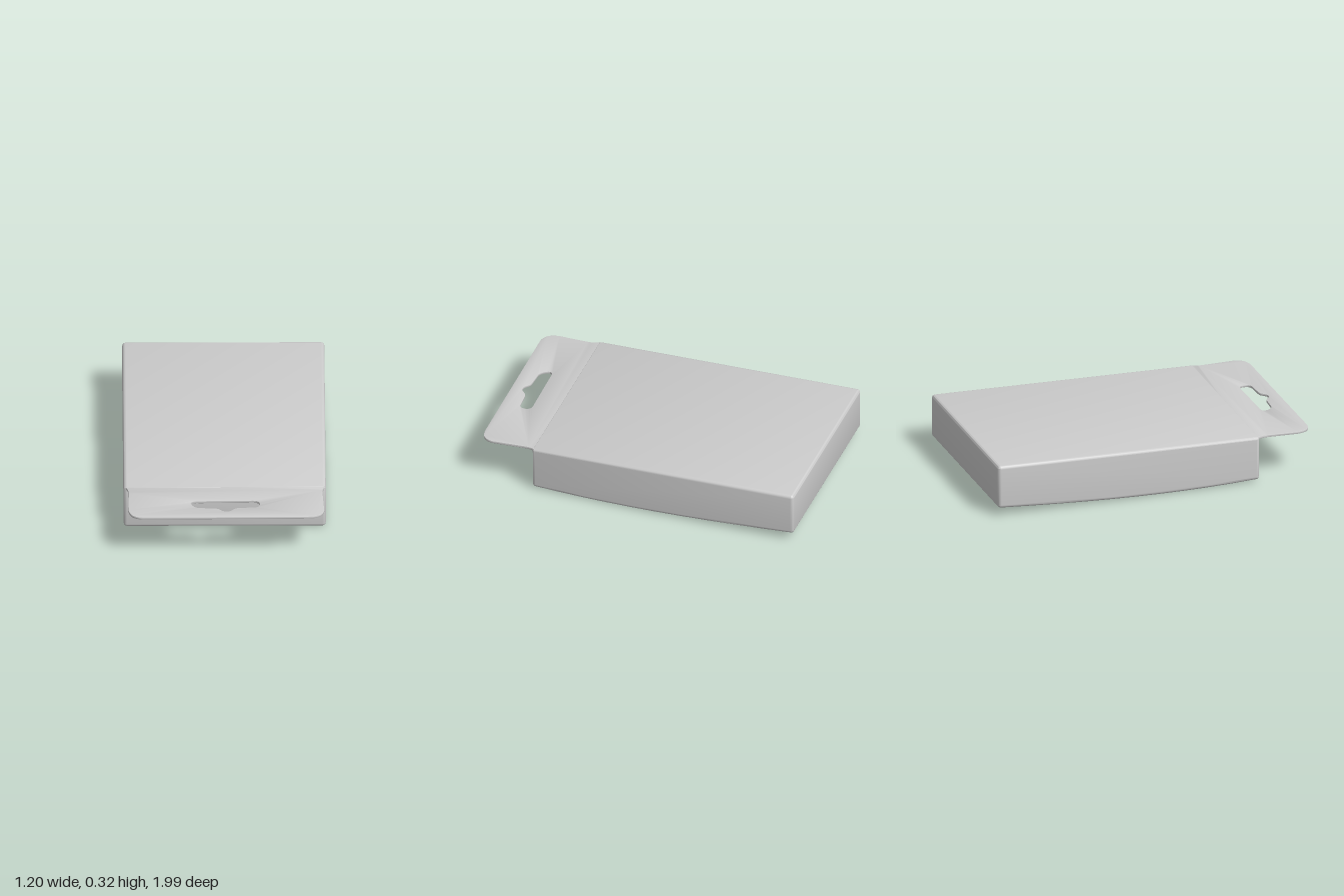
import * as THREE from 'three';
import { toCreasedNormals } from 'three/addons/utils/BufferGeometryUtils.js';

const grey = new THREE.MeshStandardMaterial({ color: 0xcccccc });

function addPart(group, name, geometry) {
  const mesh = new THREE.Mesh(toCreasedNormals(geometry, 0.6), grey);
  mesh.name = name;
  group.add(mesh);
}

// Carton: side profile (z, y) with a bowed underside, extruded across the width
function cartonGeometry() {
  const r = 0.02, width = 1.205;
  const s = new THREE.Shape();
  s.moveTo(0.635, 0.015);
  s.quadraticCurveTo(0.655, 0.015, 0.655, 0.035);
  s.lineTo(0.657, 0.272);
  s.quadraticCurveTo(0.657, 0.286, 0.643, 0.287);
  s.lineTo(-0.975, 0.325);
  s.quadraticCurveTo(-0.997, 0.325, -0.997, 0.303);
  s.lineTo(-0.997, 0.078);
  s.quadraticCurveTo(-0.997, 0.058, -0.975, 0.055);
  s.bezierCurveTo(-0.35, 0.007, 0.15, -0.011, 0.635, 0.015);
  const g = new THREE.ExtrudeGeometry(s, {
    depth: width - 2 * r, curveSegments: 10,
    bevelEnabled: true, bevelThickness: r, bevelSize: r, bevelOffset: -r, bevelSegments: 4,
  });
  g.translate(0, 0, -(width - 2 * r) / 2);
  g.rotateY(-Math.PI / 2);
  return g;
}

// Hanging tab: plan outline (x, z) with a pierced hanger slot
function tabGeometry() {
  const s = new THREE.Shape();
  s.moveTo(-0.59, 0.6);
  s.lineTo(-0.593, 0.65);
  s.quadraticCurveTo(-0.575, 0.67, -0.573, 0.72);
  s.lineTo(-0.577, 0.9);
  s.quadraticCurveTo(-0.572, 0.99, -0.49, 0.995);
  s.lineTo(0.5, 0.99);
  s.quadraticCurveTo(0.587, 0.985, 0.592, 0.91);
  s.lineTo(0.583, 0.72);
  s.quadraticCurveTo(0.58, 0.67, 0.595, 0.65);
  s.lineTo(0.59, 0.6);
  s.closePath();

  const h = new THREE.Path();
  h.moveTo(-0.15, 0.81);
  h.lineTo(0.17, 0.805);
  h.quadraticCurveTo(0.205, 0.808, 0.207, 0.84);
  h.quadraticCurveTo(0.207, 0.878, 0.175, 0.88);
  h.lineTo(0.09, 0.885);
  h.bezierCurveTo(0.04, 0.885, 0.05, 0.925, 0.01, 0.925);
  h.bezierCurveTo(-0.03, 0.925, -0.02, 0.89, -0.07, 0.89);
  h.lineTo(-0.155, 0.885);
  h.quadraticCurveTo(-0.19, 0.878, -0.203, 0.83);
  h.quadraticCurveTo(-0.2, 0.805, -0.15, 0.81);
  s.holes.push(h);

  const g = new THREE.ExtrudeGeometry(s, {
    depth: 0.008, curveSegments: 8,
    bevelEnabled: true, bevelThickness: 0.004, bevelSize: 0.004, bevelOffset: -0.004, bevelSegments: 2,
  });
  g.rotateX(Math.PI / 2);
  // Slight droop towards the free edge
  const p = g.attributes.position;
  for (let i = 0; i < p.count; i++) {
    p.setY(i, p.getY(i) + 0.281 - 0.016 * (p.getZ(i) - 0.65));
  }
  g.computeVertexNormals();
  return g;
}

export function createModel() {
  const group = new THREE.Group();
  group.name = 'hangingBox';
  addPart(group, 'carton', cartonGeometry());
  addPart(group, 'hangTab', tabGeometry());
  return group;
}
